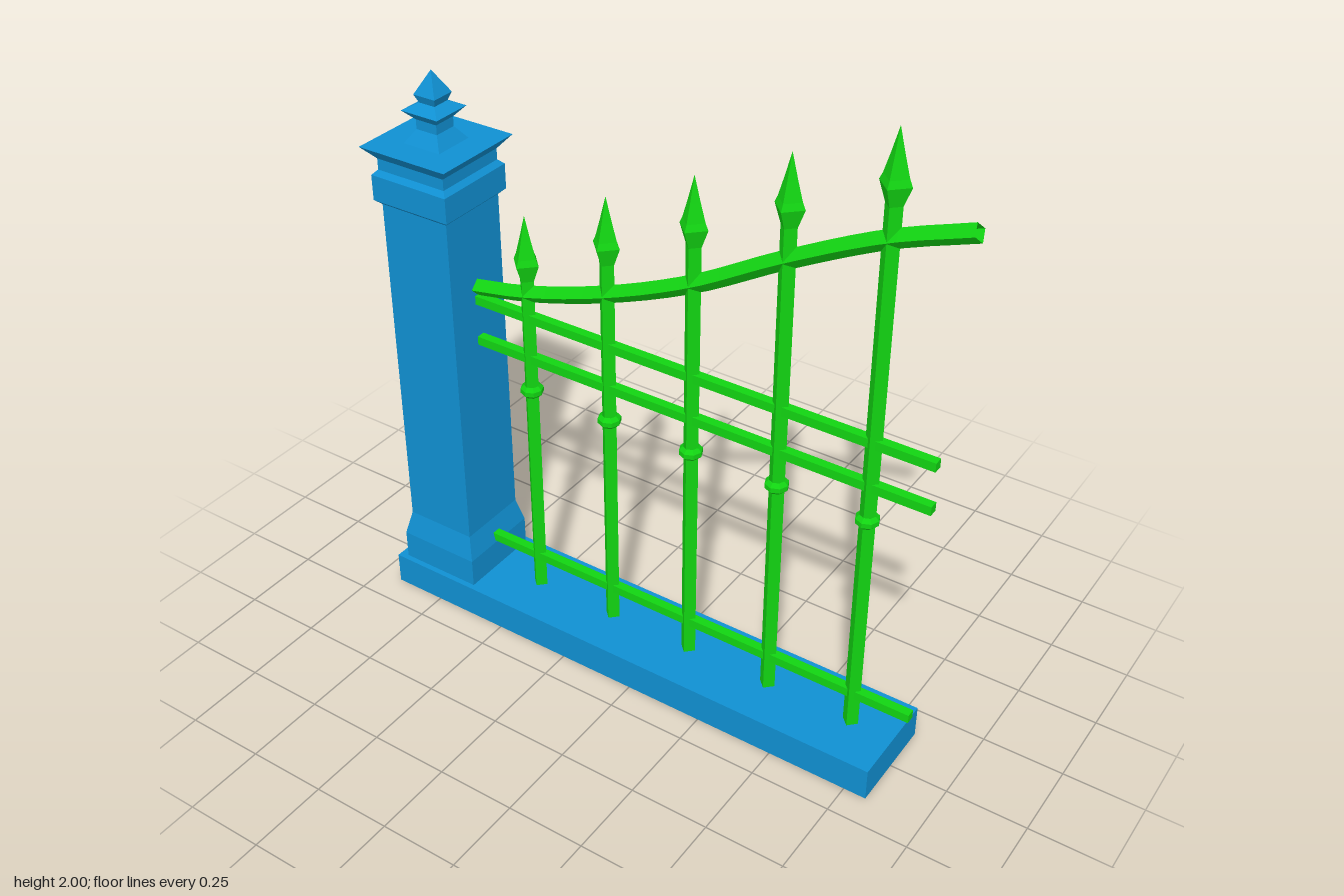
import * as THREE from 'three';

const blue = new THREE.MeshStandardMaterial({ color: 0x1090d2, flatShading: true, side: THREE.DoubleSide });
const green = new THREE.MeshStandardMaterial({ color: 0x12d412, flatShading: true, side: THREE.DoubleSide });

function add(parent, name, geometry, material, x = 0, y = 0, z = 0) {
  const mesh = new THREE.Mesh(geometry, material);
  mesh.name = name;
  mesh.position.set(x, y, z);
  parent.add(mesh);
  return mesh;
}

// Turned profile of [radius, height] pairs, four sided by default
function turned(profile, sides = 4) {
  return new THREE.LatheGeometry(profile.map(([r, y]) => new THREE.Vector2(r, y)), sides);
}

// Square stack with flat sides facing the axes: [half width, height] pairs
function squareStack(profile) {
  return turned(profile.map(([w, y]) => [w * Math.SQRT2, y])).rotateY(Math.PI / 4);
}

export function createModel() {
  const model = new THREE.Group();
  model.name = 'fenceSection';

  // Hollow footing, open underneath
  const footing = new THREE.BoxGeometry(1.74, 0.105, 0.31);
  const faces = Array.from(footing.index.array);
  faces.splice(18, 6);
  footing.setIndex(faces);
  footing.clearGroups();
  add(model, 'footing', footing, blue, -0.05, 0.0525);

  // Pillar: plinth, shaft, collar and flared cap
  const pillar = new THREE.Group();
  pillar.name = 'pillar';
  pillar.position.x = -0.755;
  model.add(pillar);
  add(pillar, 'plinth', squareStack([[0.137, 0.105], [0.137, 0.2], [0.118, 0.28]]), blue);
  add(pillar, 'shaft', squareStack([[0.118, 0.105], [0.118, 1.41]]), blue);
  add(pillar, 'capital', squareStack([
    [0.118, 1.395], [0.135, 1.41], [0.135, 1.49], [0.12, 1.505],
    [0.12, 1.54], [0.154, 1.58], [0, 1.58],
  ]), blue);
  add(pillar, 'finial', squareStack([
    [0.065, 1.58], [0.037, 1.62], [0.037, 1.65], [0.065, 1.68],
    [0.028, 1.7], [0.038, 1.725], [0, 1.795],
  ]), blue);

  // Pickets, rising in equal steps
  for (let i = 0; i < 5; i++) {
    const picket = new THREE.Group();
    picket.name = 'picket' + (i + 1);
    picket.position.x = -0.45 + i * 0.2825;
    model.add(picket);
    const tip = 1.43 + i * 0.1425;
    add(picket, 'bar', turned([[0.025, 0.105], [0.025, tip - 0.19]]), green);
    add(picket, 'spearhead', turned([
      [0.025, -0.205], [0.045, -0.15], [0.036, -0.13], [0.02, -0.075], [0, 0],
    ]), green, 0, tip);
    add(picket, 'bead', turned([
      [0.024, 0.828], [0.035, 0.839], [0.035, 0.854], [0.024, 0.866],
    ], 8), green);
  }

  // Straight rails
  for (const y of [0.22, 0.96, 1.1]) {
    add(model, 'rail', new THREE.BoxGeometry(1.51, 0.028, 0.028), green, 0.11, y);
  }

  // Sweeping top rail with a diamond section
  const sweep = new THREE.CatmullRomCurve3([
    [-0.645, 1.138], [-0.45, 1.177], [-0.167, 1.268], [0.115, 1.392],
    [0.397, 1.555], [0.68, 1.7], [0.905, 1.785],
  ].map(([x, y]) => new THREE.Vector3(x, y, 0)));
  add(model, 'topRail', new THREE.TubeGeometry(sweep, 24, 0.027, 4), green);

  return model;
}
